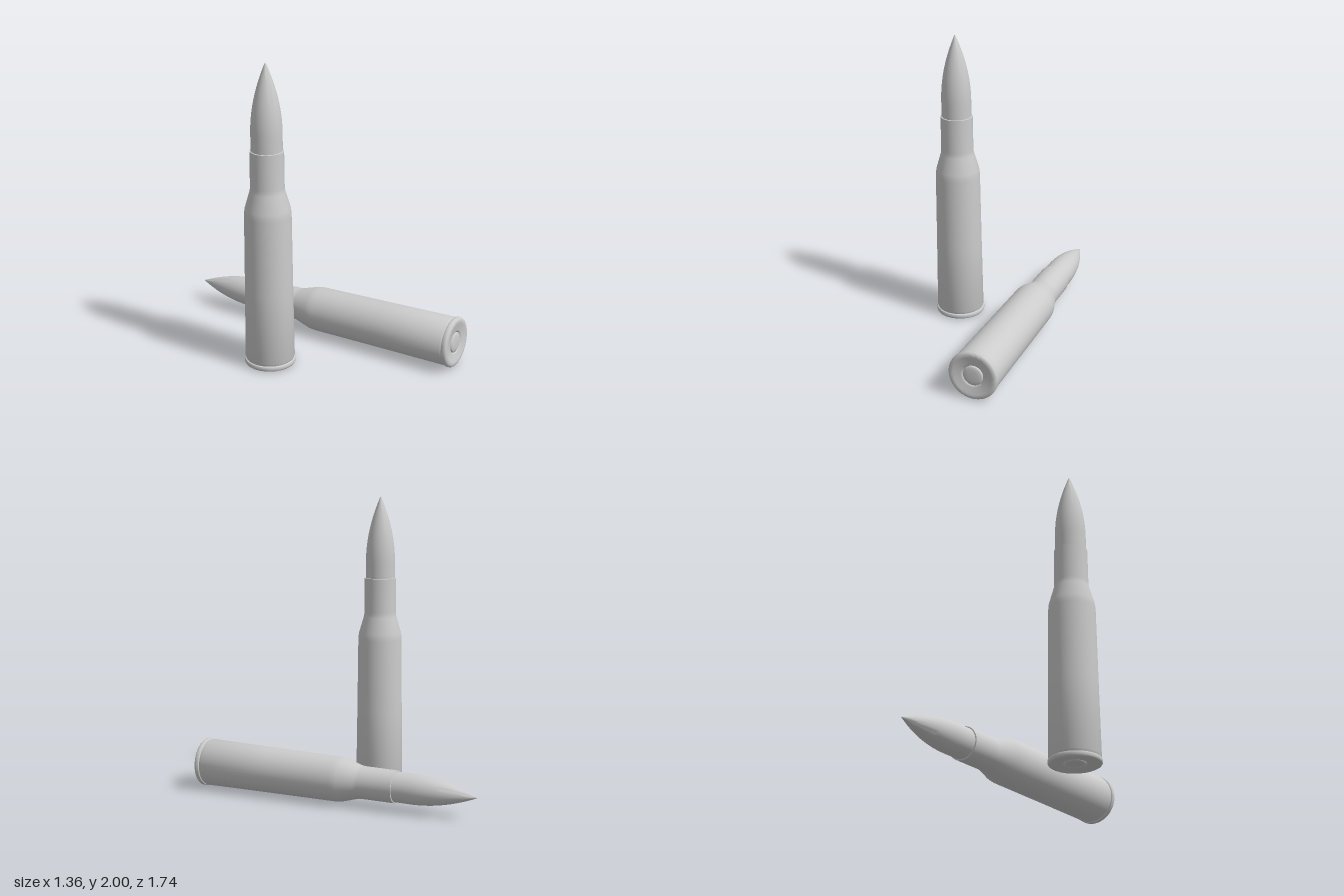
import * as THREE from 'three';
import { toCreasedNormals } from 'three/addons/utils/BufferGeometryUtils.js';

const material = new THREE.MeshStandardMaterial({ color: 0xcccccc });

// Turned part: profile of [radius, height] pairs, from bottom to top
function turned(name, profile, crease = 0.5) {
  const points = profile.map(([r, y]) => new THREE.Vector2(r, y));
  const geometry = toCreasedNormals(new THREE.LatheGeometry(points, 48), crease);
  const mesh = new THREE.Mesh(geometry, material);
  mesh.name = name;
  return mesh;
}

function createCartridge(name) {
  const cartridge = new THREE.Group();
  cartridge.name = name;

  // Primer: slightly domed disc set into the base
  cartridge.add(turned('primer', [
    [0, 0.004], [0.035, 0.005], [0.058, 0.007], [0.066, 0.011], [0.068, 0.02],
  ], 0.9));

  // Base face and extraction rim
  cartridge.add(turned('rim', [
    [0.066, 0.02], [0.073, 0.011], [0.082, 0.008], [0.12, 0.005], [0.13, 0.001],
    [0.138, 0], [0.152, 0.001], [0.161, 0.006], [0.165, 0.013],
    [0.165, 0.029], [0.162, 0.035], [0.155, 0.038],
  ], 0.7));

  // Tapered body, shoulder, neck and open mouth lip
  cartridge.add(turned('case', [
    [0.155, 0.038], [0.157, 0.045], [0.16, 0.052], [0.154, 0.53], [0.149, 1.02],
    [0.1475, 1.045], [0.144, 1.07], [0.112, 1.18], [0.109, 1.195],
    [0.108, 1.215], [0.107, 1.445], [0.097, 1.447],
  ]));

  // Bullet with a curved nose
  const nose = new THREE.SplineCurve([
    [0.099, 1.5], [0.098, 1.6], [0.0885, 1.7], [0.069, 1.8], [0.04, 1.9], [0.004, 1.996],
  ].map(([r, y]) => new THREE.Vector2(r, y)));
  const noseProfile = nose.getPoints(24).map((p) => [p.x, p.y]);
  cartridge.add(turned('bullet', [[0.099, 1.43], ...noseProfile, [0, 2]], 0.6));
  return cartridge;
}

export function createModel() {
  const model = new THREE.Group();
  model.name = 'cartridges';

  const standing = createCartridge('standingCartridge');
  standing.position.set(-0.52, 0, 0.205);

  // The second one lies on its tapered side, so its tip dips slightly
  const lying = createCartridge('lyingCartridge');
  const base = new THREE.Vector3(0.541, 0.169, 0.779);
  const tip = new THREE.Vector3(-0.573, 0.145, -0.872);
  lying.position.copy(base);
  lying.quaternion.setFromUnitVectors(
    new THREE.Vector3(0, 1, 0), tip.sub(base).normalize());

  model.add(standing, lying);
  return model;
}
